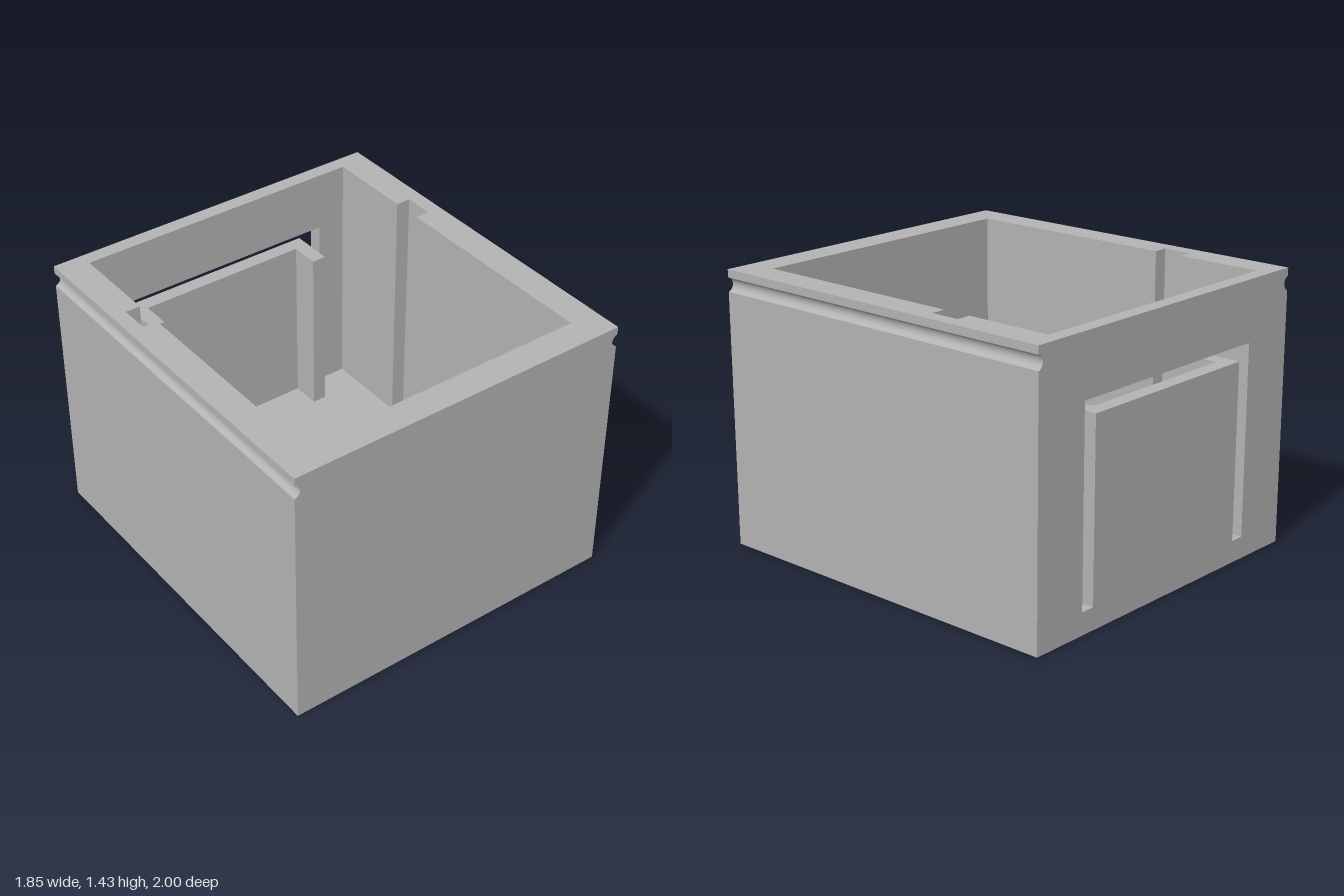
import * as THREE from 'three';
import { toCreasedNormals } from 'three/addons/utils/BufferGeometryUtils.js';

const U = 1 / 13; // design unit: thickness of the back wall
const H = 18.6 * U; // overall height

export function createModel() {
  const group = new THREE.Group();
  const grey = new THREE.MeshStandardMaterial({ color: 0xb2b2b2 });
  grey.name = 'light grey';

  const add = (name, geometry) => {
    const mesh = new THREE.Mesh(geometry, grey);
    mesh.name = name;
    group.add(mesh);
  };
  // Box from its limits, in design units
  const box = (name, x0, x1, y0, y1, z0, z1) => {
    const g = new THREE.BoxGeometry((x1 - x0) * U, (y1 - y0) * U, (z1 - z0) * U);
    g.translate((x0 + x1) * U / 2, (y0 + y1) * U / 2, (z0 + z1) * U / 2);
    add(name, g);
  };
  const points = (list) => list.map(([a, b]) => new THREE.Vector2(a * U, b * U));
  const extrude = (shape, depth) =>
    new THREE.ExtrudeGeometry(shape, { depth, bevelEnabled: false });

  for (const s of [1, -1]) {
    const side = s > 0 ? 'left' : 'right';
    const mx = (a, b) => (s > 0 ? [a, b] : [-b, -a]);

    // Outer side wall with a rounded groove along its full length
    const r = 0.0372, off = 0.009, cy = 17.6 * U, T = Math.acos(off / r);
    const profile = points([[11 * s, 0], [12 * s, 0]]);
    for (let i = 0; i <= 20; i++) {
      const t = -T + (2 * T * i) / 20;
      profile.push(new THREE.Vector2(s * (12 * U + off - r * Math.cos(t)), cy + r * Math.sin(t)));
    }
    profile.push(...points([[12 * s, 18.6], [11 * s, 18.6]]));
    const wall = extrude(new THREE.Shape(profile), 2).translate(0, 0, -1);
    add(side + 'GroovedWall', toCreasedNormals(wall, 0.5));

    // Inner wall layer, leaving an upright channel between its two parts
    box(side + 'InnerWallBack', ...mx(10, 11), 0, 18.6, -13, -6);
    box(side + 'InnerWallFront', ...mx(10, 11), 0, 18.6, -4, 13);
    box(side + 'ChannelFloor', ...mx(10, 11), 0, 1.5, -6, -4);

    // Stiffening rib behind each edge of the spring tongue
    box(side + 'TongueRib', ...mx(6, 7), 1.5, 13.5, -12, -10);
  }

  box('frontWall', -10, 10, 0, 18.6, 11, 13);

  // Back wall with a U-shaped slot that frees the tongue
  const back = new THREE.Shape(points([[-10, 0], [10, 0], [10, 18.6], [-10, 18.6]]));
  back.holes.push(new THREE.Path(points([
    [-8, 1.5], [-8, 14.5], [8, 14.5], [8, 1.5], [7, 1.5], [7, 13.5], [-7, 13.5], [-7, 1.5],
  ])));
  add('backWall', extrude(back, U).translate(0, 0, -1));

  // Floor: flat at the back, sloping gently down to the front, open at the slot.
  // Each strip is a (z, y) profile run along x.
  const floor = (name, x0, x1, list) => {
    const g = extrude(new THREE.Shape(points(list)), (x1 - x0) * U);
    add(name, g.rotateY(-Math.PI / 2).translate(x1 * U, 0, 0));
  };
  const full = [[-12, 0], [11, 0], [11, 1], [9.5, 1], [-0.5, 1.5], [-12, 1.5]];
  floor('floorRight', -10, -7, full);
  floor('floorLeft', 6, 10, full);
  floor('floorBack', -7, 6, [[-12, 0], [6.5, 0], [6.5, 1.15], [-0.5, 1.5], [-12, 1.5]]);
  floor('floorFront', -7, 6, [[9.5, 0], [11, 0], [11, 1], [9.5, 1]]);

  return group;
}
